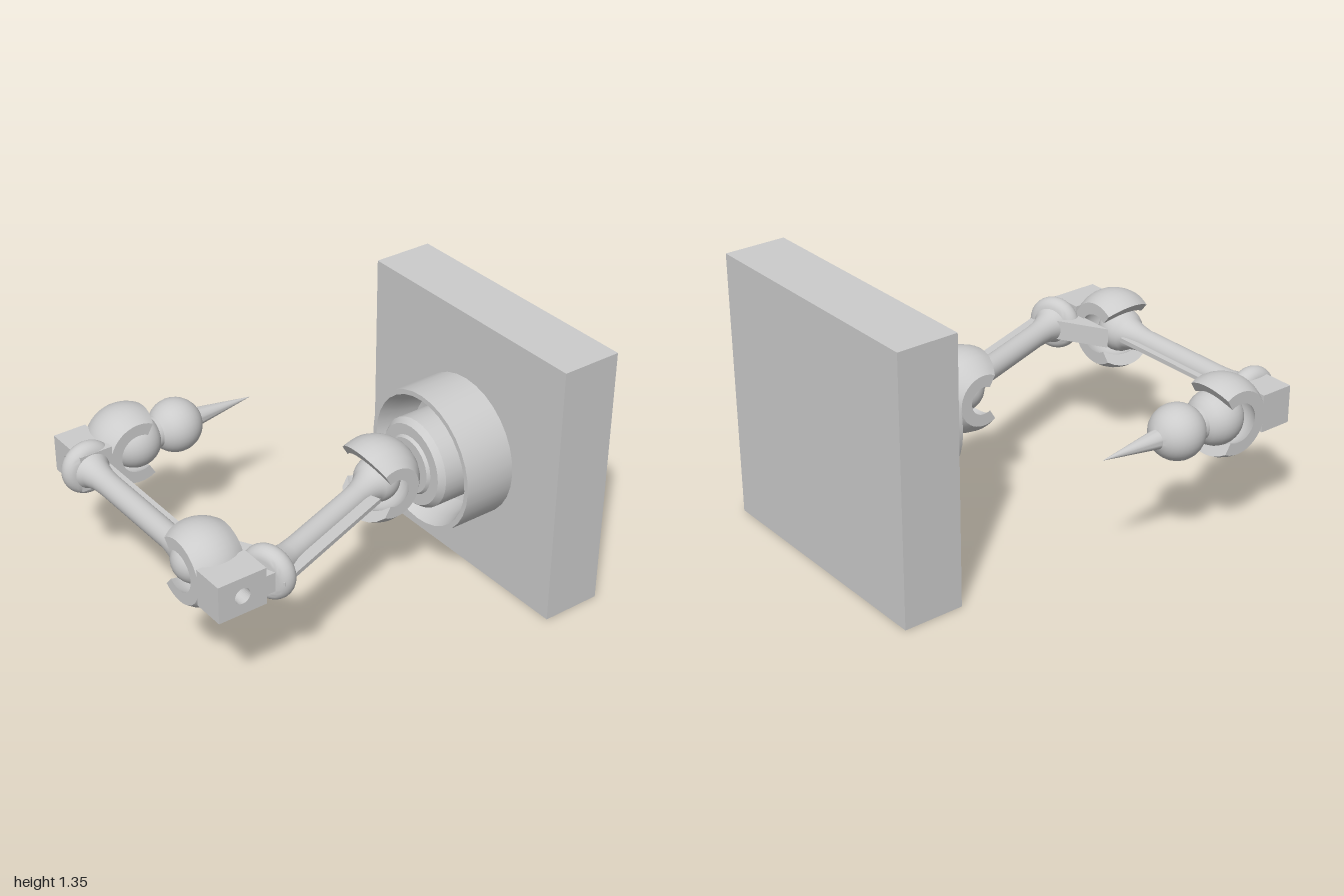
import * as THREE from 'three';
import { mergeGeometries, toCreasedNormals } from 'three/addons/utils/BufferGeometryUtils.js';

const AXIS_Y = 0.66;
const material = new THREE.MeshStandardMaterial({ color: 0xcccccc, side: THREE.DoubleSide });

function part(name, geometry, parent) {
  const mesh = new THREE.Mesh(geometry, material);
  mesh.name = name;
  parent.add(mesh);
  return mesh;
}

const lathe = (pts, sides = 32, crease = 0.6) =>
  toCreasedNormals(new THREE.LatheGeometry(pts.map(([r, y]) => new THREE.Vector2(r, y)), sides), crease);

// Profile points on an arc, angles in degrees from the radial direction
function arc(cr, cy, radius, from, to, steps = 12) {
  return Array.from({ length: steps + 1 }, (_, i) => {
    const a = THREE.MathUtils.degToRad(from + (to - from) * i / steps);
    return [Math.max(0, cr + radius * Math.cos(a)), cy + radius * Math.sin(a)];
  });
}

// C-shaped socket: a clipped spherical shell, open towards local -z
function makeClaw(name, radius, half, openAngle, blockEnd) {
  const claw = new THREE.Group();
  claw.name = name;
  const outer = [], inner = [];
  for (let i = 0; i <= 8; i++) {
    const w = -half + 2 * half * i / 8;
    const r = Math.sqrt(radius * radius - w * w);
    outer.push(new THREE.Vector2(r, w));
    inner.unshift(new THREE.Vector2(r - 0.06, w));
  }
  const loop = [...outer, ...inner, outer[0]];
  const pieces = [new THREE.LatheGeometry(loop, 28, -openAngle, openAngle * 2)];
  for (const a of [-openAngle, openAngle]) {
    pieces.push(new THREE.ShapeGeometry(new THREE.Shape(loop.slice(0, -1))).rotateY(a - Math.PI / 2));
  }
  const shell = mergeGeometries(pieces.map((g) => toCreasedNormals(g, 0.6)));
  part('socketJaws', shell.rotateZ(Math.PI / 2), claw);

  // Mounting block with a bolt hole
  if (blockEnd) {
    const h = 0.095;
    const shape = new THREE.Shape();
    shape.moveTo(-half, -h).lineTo(half, -h).lineTo(half, h).lineTo(-half, h).closePath();
    shape.holes.push(new THREE.Path().absarc(0, 0, 0.04, 0, Math.PI * 2, true));
    const start = 0.15;
    const block = new THREE.ExtrudeGeometry(shape, { depth: blockEnd - start, bevelEnabled: false, curveSegments: 16 });
    part('mountingBlock', block.translate(0, 0, start), claw);
  }
  return claw;
}

// Arm along local +y: ball, rod, flared end ring and a thin rib on local +x
function makeArm(name, length, direction, ribSide, ribStart, ribEnd, ribWidth) {
  const arm = new THREE.Group();
  arm.name = name;
  part('ballRod', lathe([
    ...arc(0, 0, 0.112, -90, 45),
    [0.066, 0.13], [0.058, 0.19], [0.058, length - 0.26],
    [0.062, length - 0.19], [0.074, length - 0.13], [0.09, length - 0.1],
    ...arc(0.085, length - 0.05, 0.05, -70, 90),
    [0, length],
  ]), arm);
  const rib = new THREE.BoxGeometry(ribWidth, ribEnd - ribStart, 0.022);
  part('rib', rib.translate(ribWidth / 2, (ribStart + ribEnd) / 2, 0), arm);
  const y = direction.clone().normalize();
  const x = ribSide.clone().normalize();
  const z = new THREE.Vector3().crossVectors(x, y);
  arm.quaternion.setFromRotationMatrix(new THREE.Matrix4().makeBasis(x, y, z));
  return arm;
}

export function createModel() {
  const model = new THREE.Group();
  model.name = 'robotArm';
  const place = (object, x, y, z) => {
    object.position.set(x, y, z);
    model.add(object);
    return object;
  };

  // Wall block
  part('wallBlock', new THREE.BoxGeometry(1.345, 1.35, 0.31), model).position.set(0.2, 0.675, -0.845);

  // Hollow housing and the rotor inside it
  const housing = lathe([
    [0.355, 0], [0.355, 0.27], [0.33, 0.27], [0.3, 0.2], [0.27, 0.08], [0.22, 0.06],
  ], 32, 0.4).rotateX(Math.PI / 2);
  part('housing', housing, model).position.set(0.215, AXIS_Y, -0.69);
  const rotor = lathe([
    [0.228, 0], [0.228, 0.295], [0.205, 0.325], [0.15, 0.325], [0.14, 0.34], [0, 0.34],
  ], 32, 0.4).rotateX(Math.PI / 2);
  part('rotor', rotor, model).position.set(0.215, AXIS_Y, -0.69);

  // Shoulder
  const shoulder = place(makeClaw('shoulderSocket', 0.21, 0.165, 2.1, 0), 0.208, AXIS_Y, -0.16);
  shoulder.rotation.y = Math.PI;
  place(makeArm('upperArm', 0.93, new THREE.Vector3(0.344, 0, 0.939),
    new THREE.Vector3(0.939, 0, -0.344), 0.15, 0.925, 0.115), 0.215, AXIS_Y, -0.165);

  // Elbow, with a gusset towards the upper arm
  const elbow = place(makeClaw('elbowSocket', 0.203, 0.125, 2.25, 0.315), 0.285, AXIS_Y, 0.855);
  elbow.rotation.y = Math.PI / 2;
  const gusset = new THREE.Shape([[0.2, 0.74], [0.45, 0.6], [0.6, 0.6], [0.6, 0.74]]
    .map(([x, z]) => new THREE.Vector2(x, -z)).reverse());
  const gussetGeometry = new THREE.ExtrudeGeometry(gusset, { depth: 0.1, bevelEnabled: false });
  part('elbowGusset', gussetGeometry.rotateX(-Math.PI / 2), model).position.y = AXIS_Y - 0.05;
  place(makeArm('forearm', 0.97, new THREE.Vector3(-1, 0, 0),
    new THREE.Vector3(0, 0, -1), 0.1, 0.9, 0.09), 0.25, AXIS_Y, 0.868);

  // Wrist
  place(makeClaw('wristSocket', 0.2, 0.122, 2.1, 0.32), -0.742, AXIS_Y, 0.61);

  // Double ball and pointed tip
  const tip = lathe([
    ...arc(0, 0, 0.135, -90, 42),
    [0.08, 0.105],
    ...arc(0, 0.235, 0.135, -54, 70),
    [0.0, 0.68],
  ], 32, 0.5).rotateX(-Math.PI / 2);
  part('pointedTip', tip, model).position.set(-0.742, AXIS_Y, 0.57);

  return model;
}
